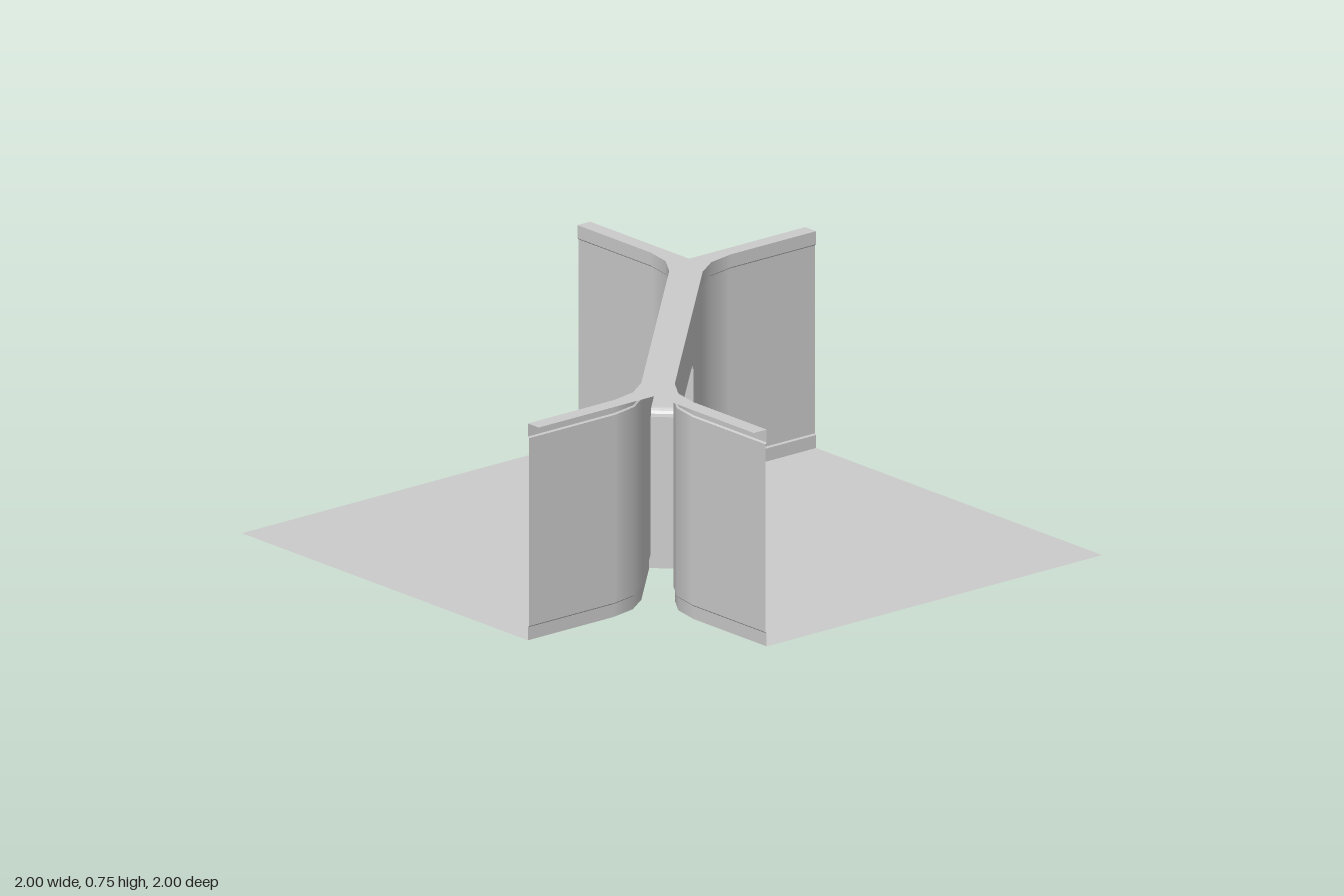
import * as THREE from 'three';

const material = new THREE.MeshStandardMaterial({ color: 0xcccccc, side: THREE.DoubleSide });
const HEIGHT = 0.75, HALF = 0.05, TRIM = 0.005;       // wall height, half thickness, trim projection
const DOOR_W = 0.25, DOOR_H = 0.55, DOOR_R = 0.027;   // door half width, height, corner radius

function mesh(name, geometry) {
  const m = new THREE.Mesh(geometry, material);
  m.name = name;
  return m;
}

function buffer(positions, index, normals) {
  const g = new THREE.BufferGeometry();
  g.setAttribute('position', new THREE.Float32BufferAttribute(positions, 3));
  g.setIndex(index);
  if (normals) {
    g.setAttribute('normal', new THREE.Float32BufferAttribute(normals, 3));
    return g;
  }
  const flat = g.toNonIndexed();
  flat.computeVertexNormals();
  return flat;
}

// Plan of one wall face as { x, z, nx, nz }: straight arm, 45 degree bend, diagonal up to the door
function halfPath() {
  const cornerX = 0.45 + HALF * Math.SQRT2, tangent = 0.11;
  const r = tangent / Math.tan(Math.PI / 8);
  const cx = cornerX + tangent, cz = -0.45 + r;
  const path = [{ x: 1, z: -0.45, nx: 0, nz: 1 }];
  for (let i = 0; i <= 2; i++) {
    const a = (i * Math.PI) / 8, nx = Math.sin(a), nz = Math.cos(a);
    path.push({ x: cx - r * nx, z: cz - r * nz, nx, nz });
  }
  const s = Math.SQRT1_2;
  path.push({ x: (HALF + DOOR_W) * s, z: (HALF - DOOR_W) * s, nx: s, nz: s });
  return path;
}

const rightPath = halfPath();
const leftPath = rightPath.map(p => ({ x: p.z, z: p.x, nx: p.nz, nz: p.nx })).reverse();
const fullPath = [...rightPath, ...leftPath];

// Sweep a [projection, height] profile along a plan path, creased between profile segments
function sweep(path, profile) {
  const pos = [], nor = [], idx = [];
  for (let k = 0; k < profile.length - 1; k++) {
    const [d0, y0] = profile[k], [d1, y1] = profile[k + 1];
    const len = Math.hypot(d1 - d0, y1 - y0);
    const out = (y1 - y0) / len, up = -(d1 - d0) / len;
    const base = pos.length / 3;
    path.forEach((p, i) => {
      for (const [d, y] of [[d0, y0], [d1, y1]]) {
        pos.push(p.x + p.nx * d, y, p.z + p.nz * d);
        nor.push(p.nx * out, up, p.nz * out);
      }
      if (i) {
        const a = base + 2 * (i - 1);
        idx.push(a, a + 1, a + 2, a + 1, a + 3, a + 2);
      }
    });
  }
  return buffer(pos, idx, nor);
}

// Horizontal sheet from [x, z] corners
function sheet(points, y) {
  const shape = new THREE.Shape(points.map(([x, z]) => new THREE.Vector2(x, -z)));
  return new THREE.ShapeGeometry(shape).rotateX(-Math.PI / 2).translate(0, y, 0);
}

const trimEdge = path => path.map(p => [p.x + p.nx * TRIM, p.z + p.nz * TRIM]);

// Rounded head of the doorway, from right to left
function doorHead() {
  const right = [];
  for (let i = 0; i <= 4; i++) {
    const a = (i * Math.PI) / 8;
    right.push([DOOR_W - DOOR_R + DOOR_R * Math.cos(a), DOOR_H - DOOR_R + DOOR_R * Math.sin(a)]);
  }
  return [...right, ...right.map(([u, y]) => [-u, y]).reverse()];
}

// One side of the partition: wall face, trims and floor
function createSide() {
  const side = new THREE.Group();
  side.name = 'wallSide';
  const base = [[TRIM, 0], [TRIM, 0.045], [0, 0.05]];
  const top = [[0, 0.7], [TRIM, 0.705], [TRIM, HEIGHT]];
  for (const [name, path] of [['right', rightPath], ['left', leftPath]]) {
    side.add(mesh(name + 'Baseboard', sweep(path, base)));
    side.add(mesh(name + 'WallFace', sweep(path, [[0, 0.05], [0, 0.7]])));
  }
  side.add(mesh('topTrim', sweep(fullPath, top)));

  // Wall above the doorway
  const outline = [[-DOOR_W, 0.7], ...doorHead().reverse(), [DOOR_W, 0.7]];
  const shape = new THREE.Shape(outline.map(([u, y]) => new THREE.Vector2(u, y)));
  const lintel = new THREE.ShapeGeometry(shape).translate(0, 0, HALF).rotateY(Math.PI / 4);
  side.add(mesh('lintel', lintel));

  side.add(mesh('floor', sheet([...trimEdge(fullPath), [1, 1]], 0)));
  return side;
}

// Jambs and soffit lining the doorway, wider at the baseboards
function createDoorLining() {
  const wide = HALF + TRIM;
  const legs = [[DOOR_W, 0, wide], [DOOR_W, 0.045, wide], [DOOR_W, 0.05, HALF]];
  const outline = [
    ...legs,
    ...doorHead().map(([u, y]) => [u, y, HALF]),
    ...legs.map(([u, y, h]) => [-u, y, h]).reverse(),
  ];
  const pos = [], idx = [];
  outline.forEach(([u, y, h], i) => {
    pos.push(u, y, -h, u, y, h);
    if (i) {
      const a = 2 * (i - 1);
      idx.push(a, a + 1, a + 2, a + 1, a + 3, a + 2);
    }
  });
  return mesh('doorLining', buffer(pos, idx).rotateY(Math.PI / 4));
}

export function createModel() {
  const model = new THREE.Group();
  model.name = 'diagonalWallWithDoorway';

  // Two identical sides, half a turn apart
  const front = createSide(), back = createSide();
  back.rotation.y = Math.PI;
  model.add(front, back);

  model.add(createDoorLining());

  // Threshold between the two floors
  const w = HALF + TRIM;
  const sill = sheet([[-DOOR_W, -w], [-DOOR_W, w], [DOOR_W, w], [DOOR_W, -w]], 0);
  model.add(mesh('threshold', sill.rotateY(Math.PI / 4)));

  // Cap across both faces, reaching the notched corners
  const edge = trimEdge(fullPath);
  const cap = [
    ...edge, [-0.5, 1], [-0.5, 0.5], [-1, 0.5],
    ...edge.map(([x, z]) => [-x, -z]), [0.5, -1], [0.5, -0.5], [1, -0.5],
  ];
  model.add(mesh('wallCap', sheet(cap, HEIGHT)));
  return model;
}
